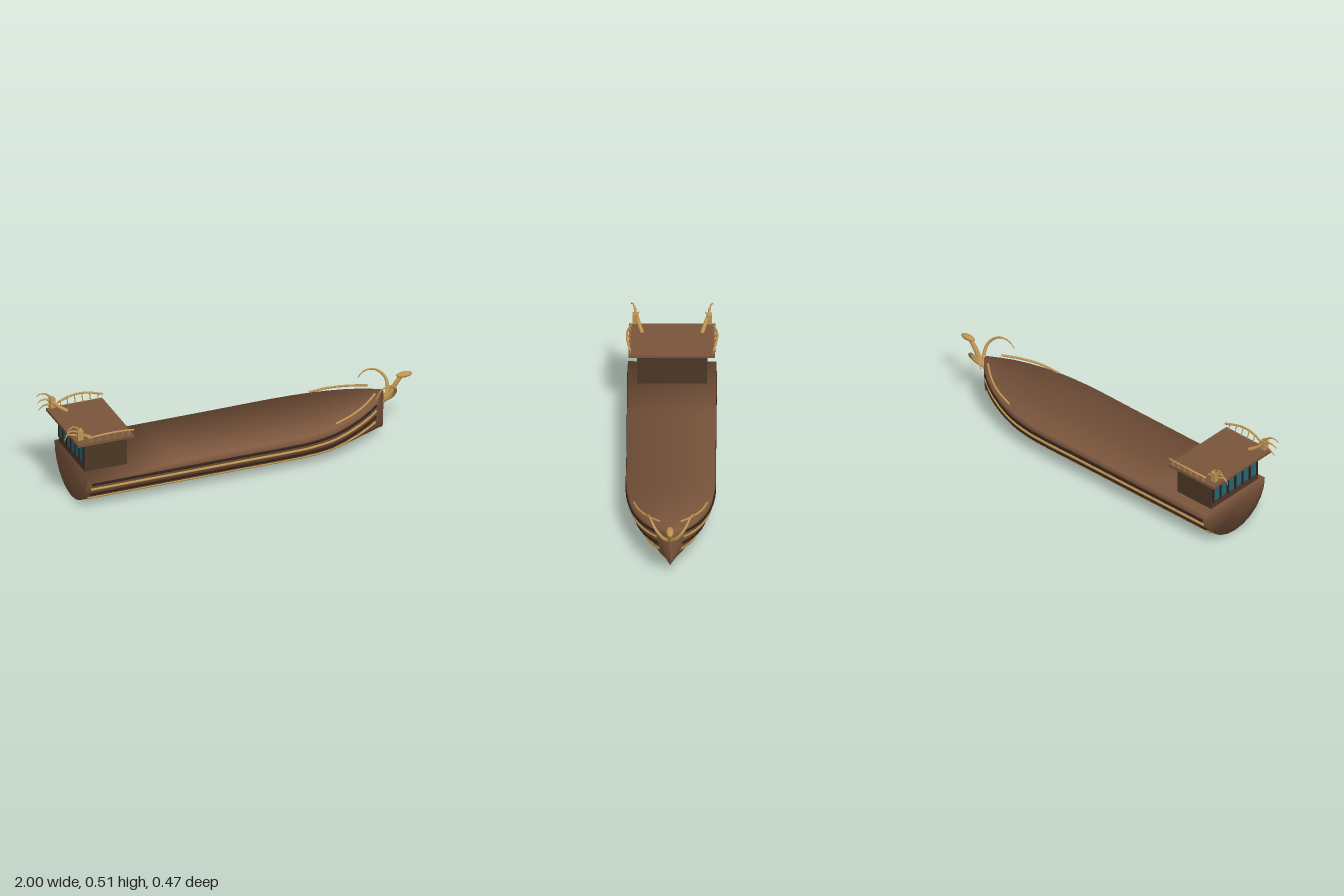
import * as THREE from 'three';

const mat = (name, color) => {
  const m = new THREE.MeshStandardMaterial({ color });
  m.name = name;
  return m;
};
const V = (x, y, z) => new THREE.Vector3(x, y, z);

// Hull stations: x, half width, rail height, keel height
const STATIONS = [
  [-0.89, 0.228, 0.21, 0], [-0.4, 0.228, 0.21, 0], [0, 0.228, 0.21, 0], [0.2, 0.23, 0.21, 0],
  [0.32, 0.228, 0.211, 0], [0.42, 0.217, 0.215, 0], [0.5, 0.2, 0.221, 0], [0.58, 0.175, 0.229, 0.014],
  [0.66, 0.142, 0.238, 0.029], [0.73, 0.102, 0.248, 0.042], [0.78, 0.063, 0.257, 0.051], [0.833, 0.012, 0.27, 0.06],
];

// Interpolated station at any x
function station(x) {
  let i = 0;
  while (i < STATIONS.length - 2 && STATIONS[i + 1][0] < x) i++;
  const a = STATIONS[i], b = STATIONS[i + 1], t = (x - a[0]) / (b[0] - a[0]);
  return a.map((v, k) => v + (b[k] - v) * t);
}

// Closed loft of half-ellipse sections, shaded smoothly over rail and transom
function hullGeometry() {
  const N = 13, pos = [], idx = [];
  for (const [x, w, top, keel] of STATIONS) {
    for (let j = 0; j < N; j++) {
      const t = (j / (N - 1)) * Math.PI;
      pos.push(x, top - (top - keel) * Math.sin(t), w * Math.cos(t));
    }
  }
  const last = (STATIONS.length - 1) * N;
  for (let i = 0; i < STATIONS.length - 1; i++) {
    for (let j = 0; j < N; j++) {
      const k = (j + 1) % N, a = i * N + j, b = i * N + k;
      idx.push(a, b, a + N, b, b + N, a + N);
    }
  }
  for (let j = 1; j < N - 1; j++) idx.push(0, j + 1, j, last, last + j, last + j + 1);
  const g = new THREE.BufferGeometry();
  g.setAttribute('position', new THREE.Float32BufferAttribute(pos, 3));
  g.setIndex(idx);
  // Vertex normals as the plain average of the face normals
  const p = g.attributes.position;
  const normals = Array.from({ length: p.count }, () => V(0, 0, 0));
  for (let f = 0; f < idx.length; f += 3) {
    const [a, b, c] = [0, 1, 2].map(k => V().fromBufferAttribute(p, idx[f + k]));
    const n = b.sub(a).cross(c.sub(a)).normalize();
    for (let k = 0; k < 3; k++) normals[idx[f + k]].add(n);
  }
  g.setAttribute('normal', new THREE.Float32BufferAttribute(normals.flatMap(n => n.normalize().toArray()), 3));
  return g;
}

// Round bar along a path, tapering from r0 to r1, with closed ends
function bar(points, r0, r1 = r0, seg = 24, sides = 8) {
  const curve = new THREE.CatmullRomCurve3(points);
  const g = new THREE.TubeGeometry(curve, seg, r0, sides, false);
  const p = g.attributes.position, v = V();
  for (let i = 0; i <= seg; i++) {
    const c = curve.getPointAt(i / seg), s = 1 + (r1 / r0 - 1) * (i / seg);
    for (let j = 0; j <= sides; j++) {
      const k = i * (sides + 1) + j;
      v.fromBufferAttribute(p, k).sub(c).multiplyScalar(s).add(c);
      p.setXYZ(k, v.x, v.y, v.z);
    }
  }
  const idx = Array.from(g.index.array), e = seg * (sides + 1);
  for (let j = 1; j < sides - 1; j++) idx.push(0, j, j + 1, e, e + j + 1, e + j);
  g.setIndex(idx);
  return g;
}

export function createModel() {
  const ship = new THREE.Group();
  ship.name = 'ship';
  const wood = mat('hull wood', 0x80593f);
  const roofWood = mat('roof wood', 0x7a563c);
  const cabinWood = mat('cabin wood', 0x4d3826);
  const dark = mat('dark wale', 0x30221a);
  const gold = mat('gilded wood', 0xbf9552);
  const glass = mat('window glass', 0x23697a);

  const add = (name, geo, material, x = 0, y = 0, z = 0) => {
    const m = new THREE.Mesh(geo, material);
    m.name = name;
    m.position.set(x, y, z);
    ship.add(m);
    return m;
  };
  const box = (w, h, d) => new THREE.BoxGeometry(w, h, d);

  add('hull', hullGeometry(), wood);

  // Stern cabin and its roof deck
  add('cabin', box(0.232, 0.167, 0.36), cabinWood, -0.77, 0.3085, 0);
  add('cabinRoof', box(0.31, 0.014, 0.444), roofWood, -0.785, 0.401, 0);

  // Stern windows with posts between
  for (let i = 0; i < 6; i++) add('sternWindow', box(0.006, 0.1, 0.036), glass, -0.888, 0.318, -0.14 + i * 0.056);
  for (let i = 0; i < 7; i++) add('windowPost', box(0.009, 0.115, 0.01), dark, -0.889, 0.318, -0.168 + i * 0.056);

  for (const s of [1, -1]) {
    // Wales running along the hull side
    [12.5, 22, 33, 46].forEach((deg, k) => {
      const path = [];
      for (let i = 0; i <= 22; i++) {
        const x = -0.865 + (1.635 * i) / 22;
        const [, w, top, keel] = station(x);
        const lift = 0.015 * THREE.MathUtils.smoothstep(x, 0.45, 0.77);
        const q = Math.sin(THREE.MathUtils.degToRad(deg)) - lift / (top - keel);
        path.push(V(x, top - (top - keel) * q, s * (w * Math.sqrt(1 - q * q) + 0.001)));
      }
      add(k % 2 ? 'goldWale' : 'darkWale', bar(path, 0.007, 0.007, 60), k % 2 ? gold : dark);
    });

    // Bow rail
    add('bowRail', bar([V(0.5, 0.231, s * 0.188), V(0.6, 0.25, s * 0.162),
      V(0.69, 0.267, s * 0.115), V(0.77, 0.284, s * 0.052)], 0.006), gold);

    // Roof railing, bowed up and outward
    const rail = [];
    for (let i = 0; i <= 6; i++) {
      const b = Math.sin((i / 6) * Math.PI);
      rail.push(V(-0.88 + 0.25 * i / 6, 0.434 + 0.018 * b, s * (0.212 + 0.02 * b)));
    }
    add('roofRail', bar(rail, 0.0055), gold);
    for (let i = 0; i < 6; i++) {
      const u = (i + 0.4) / 6, b = Math.sin(u * Math.PI);
      add('railPost', bar([V(-0.88 + 0.25 * u, 0.405, s * 0.213),
        V(-0.88 + 0.25 * u, 0.434 + 0.018 * b, s * (0.212 + 0.02 * b))], 0.003, 0.003, 1, 6), gold);
    }

    // Stern ornament: arm, block and curling claws
    add('ornamentArm', bar([V(-0.85, 0.407, s * 0.153), V(-0.89, 0.432, s * 0.168),
      V(-0.925, 0.465, s * 0.183)], 0.011, 0.009), gold);
    add('ornamentBlock', box(0.028, 0.055, 0.03), gold, -0.92, 0.453, s * 0.19);
    const claws = [[0.475, 0.506, 0.49, 0.205], [0.458, 0.478, 0.46, 0.19], [0.44, 0.452, 0.428, 0.172]];
    for (const [y0, y1, y2, z] of claws) {
      add('ornamentClaw', bar([V(-0.915, y0, s * 0.187), V(-0.955, y1, s * (0.187 + z) / 2),
        V(-0.98, y1 - 0.001, s * z), V(-0.999, y2, s * (z + 0.006))], 0.007, 0.002, 16), gold);
    }

    // Curved horn sweeping back from the bow
    add('bowHorn', bar([V(0.835, 0.21, 0), V(0.875, 0.25, s * 0.035), V(0.875, 0.305, s * 0.075),
      V(0.83, 0.342, s * 0.102), V(0.78, 0.335, s * 0.117), V(0.748, 0.297, s * 0.128)], 0.012, 0.002, 32), gold);
  }

  // Figurehead
  add('figureheadNeck', bar([V(0.825, 0.205, 0), V(0.87, 0.235, 0), V(0.9, 0.285, 0),
    V(0.935, 0.332, 0)], 0.015, 0.011), gold);
  add('figureheadHead', new THREE.SphereGeometry(1, 20, 14), gold, 0.953, 0.337, 0).scale.set(0.044, 0.015, 0.019);

  return ship;
}
